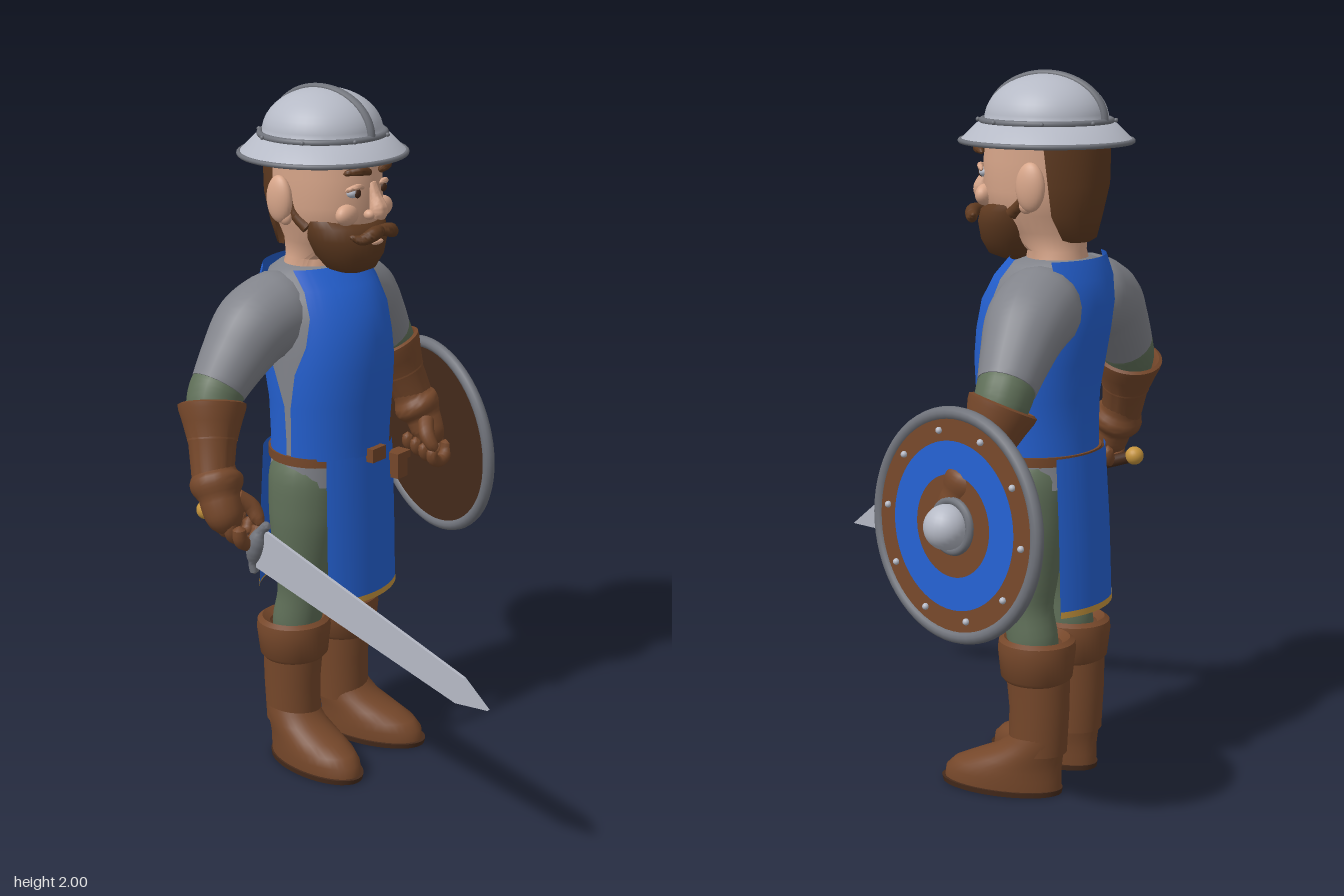
import * as THREE from 'three';
import { toCreasedNormals } from 'three/addons/utils/BufferGeometryUtils.js';

const mat = (name, color) => {
  const m = new THREE.MeshStandardMaterial({ color, side: THREE.DoubleSide });
  m.name = name;
  return m;
};
const V = (p) => new THREE.Vector3(...p);
const DEG = Math.PI / 180;

// Stacked ellipses, rows upward: [y, halfWidth, zFront, zBack, halfAngle]. A facing (0 front, 180 back) makes an open panel.
function loft(rows, facing = null, n = 36) {
  const open = facing !== null;
  if (!open) {
    const cap = ([y, , f, b]) => [y, 0, (f + b) / 2, (f + b) / 2];
    rows = [cap(rows[0]), ...rows, cap(rows[rows.length - 1])];
  }
  const pos = [], idx = [];
  rows.forEach(([y, rx, f, b, half = 180], i) => {
    for (let j = 0; j <= n; j++) {
      const a = ((open ? facing : 0) + (j / n * 2 - 1) * half) * DEG;
      pos.push(rx * Math.sin(a), y, (f + b) / 2 + (f - b) / 2 * Math.cos(a));
      if (i && j) {
        const c = i * (n + 1) + j, a0 = c - n - 2;
        idx.push(a0, a0 + 1, c, a0, c, c - 1);
      }
    }
  });
  const g = new THREE.BufferGeometry();
  g.setAttribute('position', new THREE.Float32BufferAttribute(pos, 3));
  g.setIndex(idx);
  return toCreasedNormals(g, 0.9);
}

// Round limb through points [x, y, z, radius], closed at both ends.
function limb(pts, n = 20, seg = 24) {
  const curve = new THREE.CatmullRomCurve3(pts.map(p => V(p.slice(0, 3))));
  const radii = new THREE.CatmullRomCurve3(pts.map(p => new THREE.Vector3(p[3], 0, 0)));
  const g = new THREE.TubeGeometry(curve, seg, 1, n), p = g.attributes.position, v = new THREE.Vector3();
  for (let i = 0; i <= seg; i++) {
    const c = curve.getPointAt(i / seg);
    const r = i === 0 || i === seg ? 0.0005 : radii.getPoint(curve.getUtoTmapping(i / seg)).x;
    for (let j = 0; j <= n; j++) {
      const k = i * (n + 1) + j;
      v.fromBufferAttribute(p, k).sub(c).multiplyScalar(r).add(c);
      p.setXYZ(k, v.x, v.y, v.z);
    }
  }
  return toCreasedNormals(g, 0.9);
}
const lathe = (pts) => toCreasedNormals(new THREE.LatheGeometry(pts.map(p => new THREE.Vector2(...p)), 48), 0.6);

export function createModel() {
  const blue = mat('blue cloth', 0x2460d0), brown = mat('leather', 0x75472a), hair = mat('hair', 0x5f3a20);
  const skin = mat('skin', 0xd8a68a), grey = mat('grey shirt', 0x82848b), steel = mat('steel', 0xb6bac6);
  const green = mat('green trousers', 0x5f6f58), trim = mat('dark steel', 0x70737b);
  const gold = mat('gold', 0xc4933c), dark = mat('dark wood', 0x452a1b);
  const root = new THREE.Group(), body = new THREE.Group();
  root.name = 'soldier';
  body.name = 'body';
  body.position.x = -0.05;
  root.add(body);
  const add = (name, geo, m, parent = body, pos = [0, 0, 0], scale = [1, 1, 1]) => {
    const mesh = new THREE.Mesh(geo, m);
    mesh.name = name;
    mesh.position.set(...pos);
    mesh.scale.set(...scale);
    parent.add(mesh);
    return mesh;
  };
  const ball = (name, m, pos, scale, parent = body) => add(name, new THREE.SphereGeometry(1, 24, 16), m, parent, pos, scale);

  // Torso and tabard
  add('shirt', loft([[0.88, 0.185, -0.15, -0.45], [1, 0.178, -0.14, -0.43], [1.12, 0.182, -0.125, -0.43],
    [1.25, 0.188, -0.115, -0.45], [1.36, 0.187, -0.13, -0.46], [1.43, 0.18, -0.165, -0.46],
    [1.485, 0.15, -0.215, -0.445], [1.5, 0.1, -0.25, -0.43]]), grey);
  const bib = [[0.965, 0.184, -0.122, -0.445, 87], [1.02, 0.186, -0.12, -0.442, 87], [1.12, 0.192, -0.112, -0.443, 86],
    [1.22, 0.199, -0.106, -0.46, 78], [1.3, 0.194, -0.11, -0.475, 66], [1.38, 0.192, -0.126, -0.485, 59],
    [1.45, 0.184, -0.165, -0.478, 58], [1.505, 0.172, -0.215, -0.455, 63]];
  const skirt = [[0.535, 0.22, -0.115, -0.485, 45], [0.75, 0.218, -0.118, -0.475, 45], [0.97, 0.212, -0.125, -0.458, 45]];
  const hem = [[0.527, 0.222, -0.113, -0.487, 45], [0.545, 0.222, -0.113, -0.487, 45]];
  [['front', 0], ['back', 180]].forEach(([side, facing]) => {
    add(side + 'Bib', loft(bib, facing), blue);
    add(side + 'Skirt', loft(skirt, facing), blue);
    add(side + 'Hem', loft(hem, facing), gold);
  });
  add('belt', loft([[0.945, 0.188, -0.125, -0.452], [0.972, 0.188, -0.125, -0.452]]), brown);
  add('buckle', new THREE.BoxGeometry(0.06, 0.04, 0.03), brown, body, [0, 0.966, -0.117]);
  add('pouch', new THREE.BoxGeometry(0.045, 0.07, 0.035), brown, body, [0.122, 0.895, -0.13]);
  add('pouchFlap', new THREE.BoxGeometry(0.06, 0.022, 0.045), brown, body, [0.122, 0.927, -0.13]);

  // Head and face
  add('head', loft([[1.44, 0.11, -0.25, -0.43], [1.52, 0.085, -0.25, -0.41], [1.57, 0.1, -0.17, -0.415],
    [1.62, 0.127, -0.13, -0.43], [1.68, 0.139, -0.118, -0.445], [1.76, 0.14, -0.118, -0.455], [1.84, 0.142, -0.13, -0.455]]), skin);
  add('backHair', loft([[1.545, 0.07, -0.24, -0.425, 45], [1.555, 0.1, -0.22, -0.44, 58], [1.62, 0.135, -0.14, -0.455, 62],
    [1.7, 0.148, -0.12, -0.473, 66], [1.84, 0.15, -0.12, -0.475, 72]], 180), hair);
  add('beard', loft([[1.488, 0.035, -0.165, -0.25], [1.502, 0.07, -0.13, -0.27], [1.54, 0.1, -0.11, -0.3],
    [1.59, 0.122, -0.104, -0.325], [1.625, 0.129, -0.115, -0.335], [1.645, 0.126, -0.145, -0.335]]), hair);
  add('nose', limb([[0, 1.75, -0.125, 0.012], [0, 1.71, -0.112, 0.017], [0, 1.672, -0.1, 0.026], [0, 1.65, -0.105, 0.02]]), skin);
  ball('lowerLip', skin, [0, 1.583, -0.106], [0.025, 0.008, 0.01]);
  for (const s of [-1, 1]) {
    ball('ear', skin, [s * 0.153, 1.7, -0.325], [0.024, 0.066, 0.042]);
    ball('earLobe', skin, [s * 0.147, 1.65, -0.31], [0.015, 0.022, 0.02]);
    ball('nostril', skin, [s * 0.024, 1.662, -0.113], [0.015, 0.014, 0.017]);
    ball('cheek', skin, [s * 0.075, 1.665, -0.15], [0.04, 0.03, 0.025]);
    ball('eye', steel, [s * 0.059, 1.725, -0.142], [0.022, 0.015, 0.018]);
    ball('iris', dark, [s * 0.057, 1.724, -0.127], [0.012, 0.013, 0.007]);
    add('eyelid', limb([[s * 0.028, 1.735, -0.13, 0.006], [s * 0.06, 1.743, -0.125, 0.008], [s * 0.09, 1.732, -0.145, 0.006]], 10, 10), skin);
    add('eyebrow', limb([[s * 0.018, 1.777, -0.112, 0.008], [s * 0.055, 1.788, -0.115, 0.014], [s * 0.093, 1.78, -0.148, 0.006]], 12, 14), hair);
    add('moustache', limb([[-s * 0.005, 1.618, -0.095, 0.014], [s * 0.035, 1.613, -0.089, 0.02],
      [s * 0.07, 1.6, -0.105, 0.015], [s * 0.097, 1.612, -0.125, 0.005]], 14), hair);
    add('sideburn', limb([[s * 0.12, 1.62, -0.25, 0.018], [s * 0.13, 1.66, -0.29, 0.015], [s * 0.135, 1.71, -0.3, 0.008]], 12), hair);
  }

  // Helmet
  const helmet = new THREE.Group();
  helmet.name = 'helmet';
  helmet.position.set(0, 1.87, -0.295);
  body.add(helmet);
  const dome = [];
  for (let i = 0; i <= 12; i++) dome.push([0.168 * Math.cos(i * Math.PI / 24), 0.12 * Math.sin(i * Math.PI / 24)]);
  add('helmetShell', lathe([[0.11, -0.035], [0.225, -0.062], [0.236, -0.058], [0.19, -0.012], [0.172, -0.006], ...dome]), steel, helmet);
  const hoop = (name, r, t, y) => add(name, new THREE.TorusGeometry(r, t, 10, 48).rotateX(Math.PI / 2), trim, helmet, [0, y, 0]);
  hoop('domeBand', 0.174, 0.009, -0.004);
  hoop('brimEdge', 0.233, 0.007, -0.058);
  add('helmetRidge', new THREE.TorusGeometry(0.17, 0.012, 10, 40, Math.PI).rotateY(Math.PI / 2), trim, helmet, [0, 0, 0], [1, 0.714, 1]);
  for (let i = 0; i < 8; i++) {
    const a = (i + 0.5) * Math.PI / 4;
    ball('helmetRivet', trim, [0.186 * Math.sin(a), -0.003, 0.186 * Math.cos(a)], [0.006, 0.006, 0.006], helmet);
  }

  // Arms, gauntlets, legs and boots
  for (const s of [-1, 1]) {
    add('sleeve', limb([[s * 0.07, 1.39, -0.345, 0.09], [s * 0.15, 1.375, -0.352, 0.118], [s * 0.235, 1.345, -0.36, 0.114],
      [s * 0.31, 1.275, -0.367, 0.096], [s * 0.37, 1.205, -0.372, 0.08], [s * 0.38, 1.193, -0.372, 0.078]]), grey);
    add('forearm', limb([[s * 0.355, 1.225, -0.37, 0.072], [s * 0.375, 1.2, -0.372, 0.078], [s * 0.395, 1.165, -0.37, 0.075], [s * 0.42, 1.1, -0.36, 0.06]]), green);
    const cuff = add('gauntletCuff', lathe([[0.058, -0.15], [0.066, -0.06], [0.082, 0], [0.093, 0.035], [0.095, 0.05], [0.085, 0.055], [0.07, 0.03], [0.07, -0.05]]), brown, body, [s * 0.41, 1.115, -0.362]);
    cuff.quaternion.setFromUnitVectors(V([0, 1, 0]), V([-s * 0.3, 0.9, -0.25]).normalize());
    add('gauntletHand', limb([[s * 0.425, 1.05, -0.345, 0.05], [s * 0.445, 0.99, -0.325, 0.058], [s * 0.462, 0.93, -0.295, 0.058],
      [s * 0.465, 0.88, -0.275, 0.055], [s * 0.455, 0.835, -0.265, 0.03]]), brown);
    for (let i = 0; i < 4; i++) {
      const z = -0.215 - i * 0.031, y = 0.825 + i * 0.011;
      add('finger', limb([[s * 0.475, y + 0.04, z, 0.018], [s * 0.468, y - 0.005, z, 0.021], [s * 0.435, y - 0.022, z, 0.02],
        [s * 0.402, y - 0.004, z, 0.019], [s * 0.4, y + 0.03, z, 0.014]], 10, 14), brown);
    }
    add('thumb', limb([[s * 0.435, 0.93, -0.265, 0.025], [s * 0.4, 0.895, -0.235, 0.024], [s * 0.4, 0.86, -0.212, 0.019], [s * 0.412, 0.85, -0.205, 0.012]], 12, 14), brown);

    add('trouserLeg', limb([[s * 0.07, 0.97, -0.3, 0.09], [s * 0.085, 0.88, -0.3, 0.112], [s * 0.093, 0.77, -0.3, 0.108], [s * 0.105, 0.62, -0.305, 0.084],
      [s * 0.11, 0.52, -0.31, 0.07], [s * 0.113, 0.44, -0.325, 0.072], [s * 0.113, 0.38, -0.33, 0.06]]), green);
    add('bootShaft', loft([[0.12, 0.077, -0.262, -0.427], [0.25, 0.08, -0.262, -0.433], [0.36, 0.084, -0.25, -0.433]]), brown, body, [s * 0.113, 0, 0]);
    add('bootCuff', lathe([[0.075, -0.055], [0.09, -0.062], [0.1, -0.05], [0.109, 0.03], [0.106, 0.052], [0.092, 0.062], [0.07, 0.045]]), brown, body, [s * 0.113, 0.39, -0.338]);
    const foot = new THREE.Group();
    foot.name = 'foot';
    foot.position.set(s * 0.118, 0, -0.345);
    foot.rotation.y = s * 0.14;
    body.add(foot);
    add('sole', loft([[0, 0.088, 0.28, -0.072], [0.015, 0.09, 0.284, -0.074]]), dark, foot);
    add('bootFoot', loft([[0.014, 0.084, 0.274, -0.07], [0.045, 0.086, 0.27, -0.07], [0.07, 0.084, 0.245, -0.07], [0.095, 0.081, 0.19, -0.072],
      [0.125, 0.078, 0.12, -0.075], [0.155, 0.076, 0.085, -0.08], [0.19, 0.07, 0.06, -0.08]]), brown, foot);
  }
  add('trouserSeat', loft([[0.74, 0.06, -0.25, -0.36], [0.8, 0.15, -0.18, -0.42], [0.9, 0.18, -0.155, -0.445]]), green);

  // Sword
  const sword = new THREE.Group();
  sword.name = 'sword';
  sword.position.set(-0.475, 0.815, -0.25);
  sword.rotation.x = 0.33;
  root.add(sword);
  const blade = new THREE.Shape([[0.06, -0.06], [0.79, -0.041], [0.885, 0], [0.79, 0.041], [0.06, 0.06]].map(p => new THREE.Vector2(...p)));
  add('blade', new THREE.ExtrudeGeometry(blade, { depth: 0.01, bevelEnabled: false }).translate(0, 0, -0.005).rotateY(-Math.PI / 2), steel, sword);
  add('guard', limb([[0, -0.085, 0.075, 0.012], [0, -0.05, 0.06, 0.015], [0, 0.05, 0.06, 0.015], [0, 0.085, 0.075, 0.012]], 12), trim, sword);
  add('grip', new THREE.CylinderGeometry(0.018, 0.018, 0.19, 16).rotateX(Math.PI / 2), dark, sword, [0, 0, -0.035]);
  ball('pommel', gold, [0, 0, -0.14], [0.027, 0.027, 0.027], sword);

  // Round shield
  const shield = new THREE.Group();
  shield.name = 'shield';
  shield.position.set(0.457, 0.857, -0.298);
  shield.quaternion.setFromUnitVectors(V([0, 0, 1]), V([0.95, 0.06, 0.3]).normalize());
  root.add(shield);
  add('shieldBoard', new THREE.CylinderGeometry(0.295, 0.295, 0.02, 64).rotateX(Math.PI / 2), [brown, brown, dark], shield);
  add('shieldRim', new THREE.TorusGeometry(0.293, 0.018, 12, 64), trim, shield);
  add('blueRing', new THREE.RingGeometry(0.135, 0.222, 64), blue, shield, [0, 0, 0.0125]);
  add('bossRing', new THREE.TorusGeometry(0.066, 0.012, 10, 40), trim, shield, [0, 0, 0.014]);
  ball('boss', steel, [0, 0, 0.035], [0.06, 0.06, 0.06], shield);
  for (let i = 0; i < 10; i++) {
    const a = i * Math.PI / 5;
    ball('shieldRivet', steel, [0.25 * Math.cos(a), 0.25 * Math.sin(a), 0.013], [0.009, 0.009, 0.009], shield);
  }
  return root;
}
